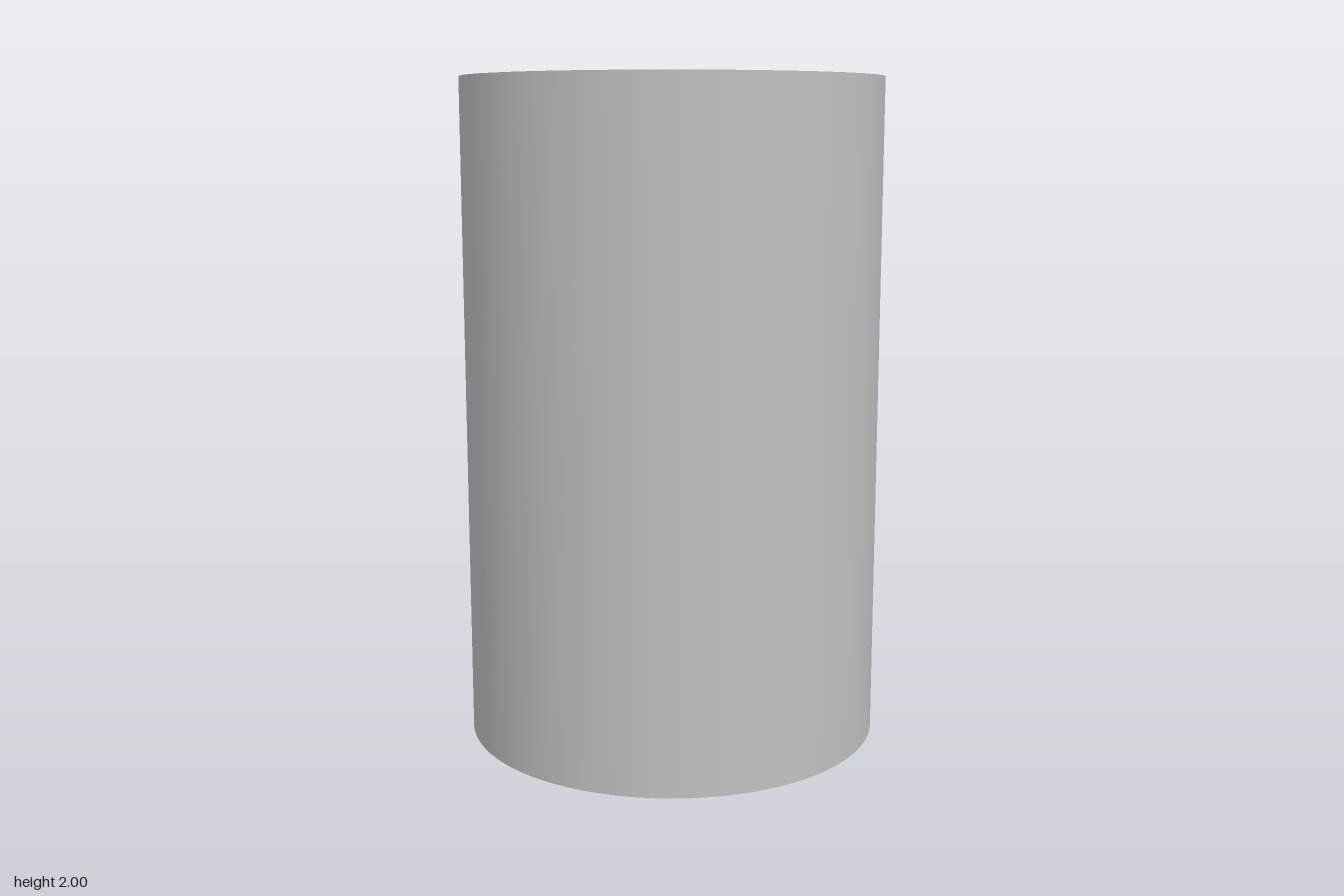
import * as THREE from 'three';
import { toCreasedNormals } from 'three/addons/utils/BufferGeometryUtils.js';

const HEIGHT = 2;
const OUTER_RADIUS = 0.63;
const BORE_RADIUS = 0.33;
const KEY_HALF_WIDTH = 0.086;
const KEY_DEPTH = 0.382; // distance from the axis to the flat of a keyway
const KEY_COUNT = 3;

// Round bore outline interrupted by evenly spaced square keyways
function boreOutline() {
  const path = new THREE.Path();
  const halfAngle = Math.asin(KEY_HALF_WIDTH / BORE_RADIUS);
  const step = (Math.PI * 2) / KEY_COUNT;
  for (let i = 0; i < KEY_COUNT; i++) {
    const a = Math.PI / 2 + i * step;
    const corner = (side) => [
      KEY_DEPTH * Math.cos(a) - side * KEY_HALF_WIDTH * Math.sin(a),
      KEY_DEPTH * Math.sin(a) + side * KEY_HALF_WIDTH * Math.cos(a),
    ];
    if (i === 0) path.moveTo(...corner(-1));
    else path.lineTo(...corner(-1));
    path.lineTo(...corner(1));
    path.absarc(0, 0, BORE_RADIUS, a + halfAngle, a + step - halfAngle, false);
  }
  return path;
}

export function createModel() {
  const group = new THREE.Group();
  group.name = 'keyedBushing';

  const metal = new THREE.MeshStandardMaterial({ color: 0xc0c0c0 });
  metal.name = 'light grey metal';

  // Thick-walled sleeve, extruded upwards
  const section = new THREE.Shape();
  section.absarc(0, 0, OUTER_RADIUS, 0, Math.PI * 2, false);
  section.holes.push(boreOutline());

  const extruded = new THREE.ExtrudeGeometry(section, {
    depth: HEIGHT,
    bevelEnabled: false,
    curveSegments: 64,
  });
  extruded.rotateX(-Math.PI / 2);

  const sleeve = new THREE.Mesh(toCreasedNormals(extruded, 0.5), metal);
  sleeve.name = 'sleeve';
  group.add(sleeve);
  return group;
}
